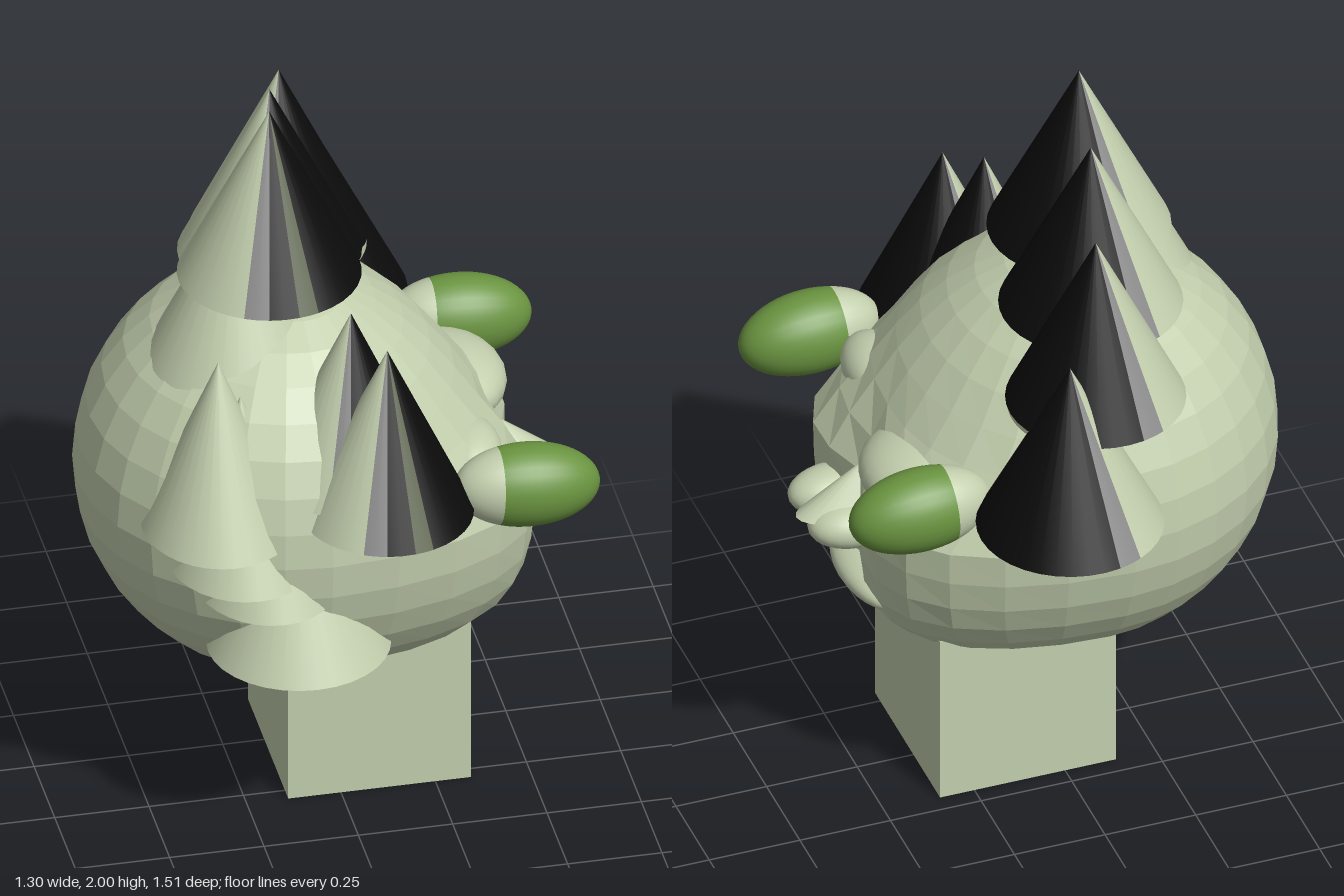
import * as THREE from 'three';

const mat = (name, color) => {
  const m = new THREE.MeshStandardMaterial({ color });
  m.name = name;
  return m;
};

export function createModel() {
  const skin = mat('pale green skin', 0xc3cfae);
  const black = mat('black hair', 0x0b0b0c);
  const grey = mat('grey hair edge', 0x8a8a8a);
  const olive = mat('olive streak', 0x5a6249);
  const green = mat('green eye', 0x6a9440);
  const facetedSkin = mat('faceted skin', 0xc3cfae);
  facetedSkin.flatShading = true;

  const model = new THREE.Group();
  const add = (parent, name, geo, material, x = 0, y = 0, z = 0) => {
    const mesh = new THREE.Mesh(geo, material);
    mesh.name = name;
    mesh.position.set(x, y, z);
    parent.add(mesh);
    return mesh;
  };
  const ellipsoid = (name, material, p, r) =>
    add(model, name, new THREE.SphereGeometry(1, 24, 16), material, ...p).scale.set(...r);

  // Neck
  add(model, 'neck', new THREE.BoxGeometry(0.485, 0.5, 0.49), skin, 0.1025, 0.25, 0.045);

  // Head: faceted sphere, face side (+x) with fuller cheeks and chin and a sloping forehead
  const headGeo = new THREE.SphereGeometry(1, 28, 18);
  const pos = headGeo.attributes.position;
  for (let i = 0; i < pos.count; i++) {
    const nx = pos.getX(i), ny = pos.getY(i), nz = pos.getZ(i);
    const front = Math.max(0, nx);
    const low = THREE.MathUtils.clamp(1 - ny / 0.4, 0, 1);
    const cheek = 0.25 * front * Math.abs(nz) * low;
    const chin = 0.35 * front * Math.min(0, ny) ** 2;
    const forehead = 0.13 * front * Math.max(0, ny);
    pos.setXYZ(i, -0.09 + 0.56 * nx + cheek + chin - forehead, 0.905 + 0.565 * ny, 0.06 + 0.55 * nz);
  }
  headGeo.computeVertexNormals();
  add(model, 'head', headGeo, facetedSkin);

  // Hair spikes: cones split into sectors, dark towards the face and pale behind
  const spike = (name, x, y, z, r, sectors) => {
    const g = new THREE.Group();
    g.name = name;
    g.position.set(x, y + 0.245, z);
    for (const [material, from, to] of sectors) {
      const a = THREE.MathUtils.degToRad(from), b = THREE.MathUtils.degToRad(to);
      const n = Math.max(2, Math.round((to - from) / 10));
      add(g, material.name, new THREE.ConeGeometry(r, 0.49, n, 1, false, a, b - a), material);
    }
    model.add(g);
    return g;
  };
  const plain = [[black, -12, 192], [grey, 192, 208], [skin, 208, 332], [grey, 332, 348]];
  const streaked = [[black, -12, 7], [olive, 7, 20], [black, 20, 192], ...plain.slice(1)];
  spike('crownSpike', -0.15, 1.51, 0.105, 0.24, streaked);
  spike('middleSpike', -0.1, 1.43, -0.12, 0.24, plain);
  spike('rightSpike', -0.02, 1.32, -0.375, 0.235, plain);
  spike('lowerRightSpike', 0.1, 1.04, -0.51, 0.245, plain);
  spike('upperLeftSpike', 0.0, 1.06, 0.41, 0.22, plain);
  spike('lowerLeftSpike', 0.07, 1.01, 0.53, 0.225, streaked);

  // Pale rim under the right spike
  add(model, 'spikeRim', new THREE.CylinderGeometry(0.225, 0.225, 0.03, 20, 1, false, 0.9, 1.6),
    skin, -0.02, 1.305, -0.36);

  // Pale locks at the back and down the left side
  const locks = [
    [-0.24, 1.29, 0.13, 0.24, 0.24], [-0.35, 0.95, 0.4, 0.2, 0.23], [-0.29, 0.84, 0.4, 0.195, 0.23],
    [-0.225, 0.765, 0.41, 0.19, 0.23], [-0.145, 0.58, 0.44, 0.24, 0.24],
  ];
  locks.forEach(([x, y, z, rx, rz], i) => {
    const lock = add(model, 'lock' + (i + 1), new THREE.ConeGeometry(1, 0.49, 32), skin, x, y + 0.245, z);
    lock.scale.set(rx, 1, rz);
  });

  // Eyes: long ellipsoids, pale at the root and green outside
  for (const [side, z] of [['left', 0.515], ['right', -0.315]]) {
    const eye = new THREE.Group();
    eye.name = side + 'Eye';
    eye.position.set(0.443, 1.03, z);
    eye.rotation.z = -0.06;
    eye.scale.set(0.193, 0.114, 0.103);
    const split = 1.98;
    const cap = (name, material, start, length) =>
      add(eye, name, new THREE.SphereGeometry(1, 28, 16, 0, Math.PI * 2, start, length), material).rotation.z = -Math.PI / 2;
    cap('eyeball', green, 0, split);
    cap('eyeRoot', skin, split, Math.PI - split);
    model.add(eye);
  }

  // Eyelid bulges, nose and mouth
  ellipsoid('leftLid', skin, [0.33, 1.025, 0.31], [0.09, 0.077, 0.14]);
  ellipsoid('rightLid', skin, [0.34, 0.985, -0.1], [0.18, 0.1, 0.2]);
  const nose = add(model, 'noseBridge', new THREE.ConeGeometry(1, 0.145, 24), skin, 0.455, 0.877, 0.05);
  nose.scale.set(0.195, 1, 0.08);
  ellipsoid('leftNostril', skin, [0.505, 0.78, 0.17], [0.122, 0.065, 0.078]);
  ellipsoid('rightNostril', skin, [0.505, 0.78, 0.02], [0.122, 0.065, 0.085]);
  ellipsoid('lips', skin, [0.445, 0.6, 0.047], [0.09, 0.05, 0.193]);

  return model;
}
